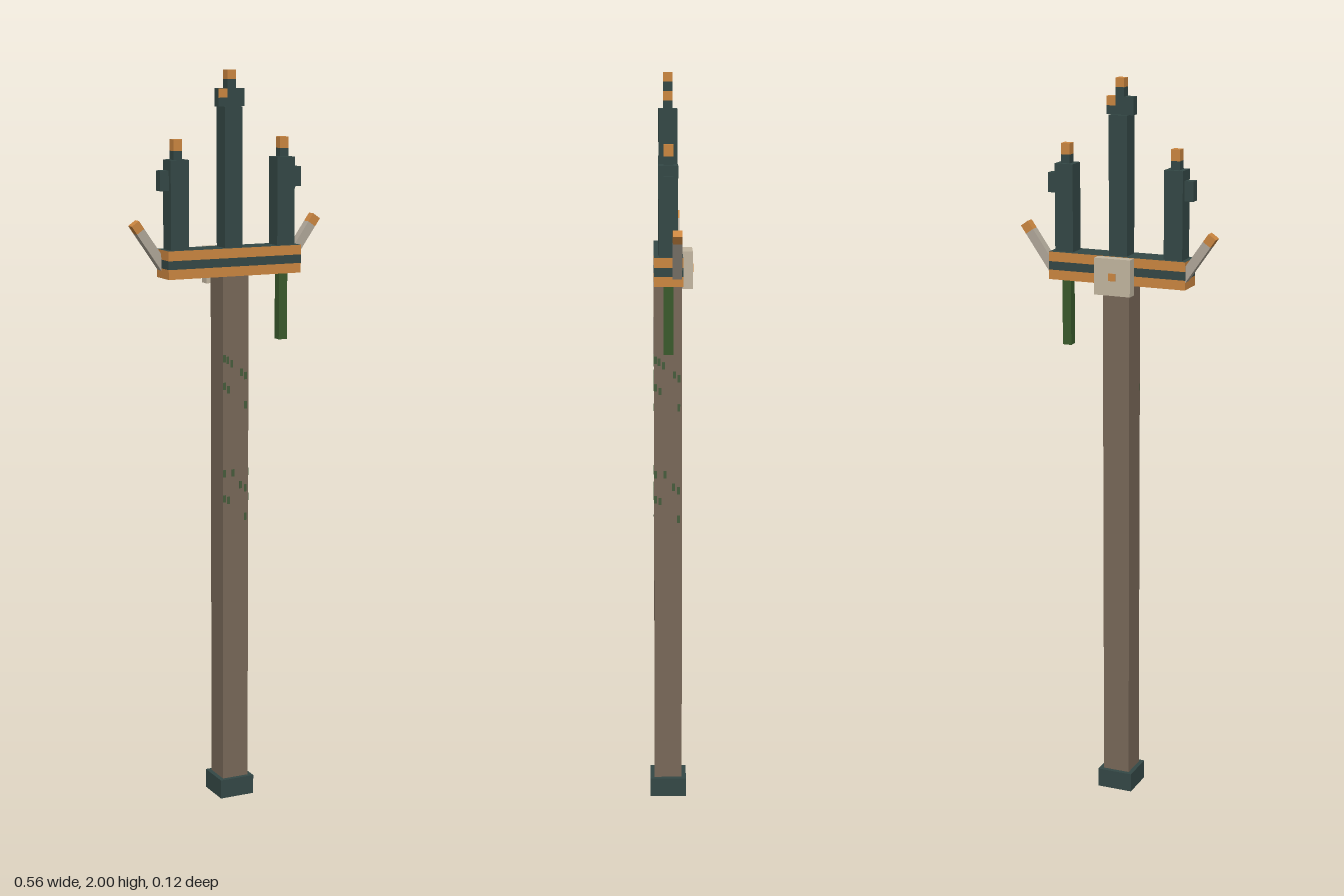
import * as THREE from 'three';

const mat = (name, color) => {
  const m = new THREE.MeshStandardMaterial({ color });
  m.name = name;
  return m;
};

export function createModel() {
  const teal = mat('dark teal metal', 0x344846);
  const orange = mat('copper orange', 0xcb8640);
  const brown = mat('weathered wood', 0x786858);
  const tan = mat('pale plate', 0xc2b6a0);
  const grey = mat('pale barb', 0xb0a799);
  const green = mat('green strap', 0x3a5a2c);
  const moss = mat('moss', 0x465c3c);

  const Z = 0.006; // depth centre of the shaft and prongs
  const model = new THREE.Group();
  model.name = 'trident';

  // Box given by its limits on each axis; material may be a list in the order +x -x +y -y +z -z
  const box = (name, material, [x0, x1], [y0, y1], [z0, z1], parent = model) => {
    const mesh = new THREE.Mesh(new THREE.BoxGeometry(x1 - x0, y1 - y0, z1 - z0), material);
    mesh.position.set((x0 + x1) / 2, (y0 + y1) / 2, (z0 + z1) / 2);
    mesh.name = name;
    parent.add(mesh);
    return mesh;
  };
  const around = (c, half) => [c - half, c + half];
  const thin = around(Z, 0.0125);
  const thick = around(Z, 0.025);

  // Shaft and foot
  box('footCap', teal, around(0, 0.05), [0, 0.053], around(Z, 0.05));
  box('shaft', brown, around(0, 0.038), [0.053, 1.46], around(Z, 0.038));

  // Moss flecks on the front and left faces: offset across the face, height
  const flecks = [
    [-0.034, 1.24], [-0.024, 1.235], [-0.012, 1.225], [0.017, 1.2], [0.029, 1.19],
    [-0.034, 1.165], [-0.022, 1.155], [0.029, 1.11], [-0.034, 0.925], [-0.008, 0.925],
    [0.015, 0.89], [0.029, 0.88], [-0.034, 0.855], [-0.022, 0.85], [0.029, 0.8],
  ];
  for (const [u, y] of flecks) {
    box('mossFleckFront', moss, around(u, 0.004), around(y, 0.01), around(Z + 0.038, 0.001));
    box('mossFleckSide', moss, around(0.038, 0.001), around(y, 0.01), around(Z - u, 0.004));
  }

  // Crosshead: three layers, the outer two with copper sides
  const banded = [orange, orange, teal, teal, orange, orange];
  const cross = around(0, 0.195), crossZ = around(Z, 0.038);
  box('crossheadLower', banded, cross, [1.46, 1.486], crossZ);
  box('crossheadMiddle', teal, cross, [1.486, 1.509], crossZ);
  box('crossheadUpper', banded, cross, [1.509, 1.535], crossZ);

  // Back plate with stud
  box('backPlate', tan, around(0, 0.051), [1.435, 1.534], [-0.06, -0.032]);
  box('backStud', orange, around(0, 0.01), around(1.485, 0.01), [-0.063, -0.06]);

  // Centre prong with two shoulder nubs
  box('centreProng', teal, around(0, 0.026), [1.535, 1.905], thick);
  box('centreNeck', teal, around(0, 0.0125), [1.905, 1.976], thin);
  box('centreTip', orange, around(0, 0.0125), [1.976, 2], thin);
  box('leftNubBase', teal, [0.0125, 0.038], [1.905, 1.928], thin);
  box('leftNub', [orange, teal, orange, teal, teal, orange], [0.0125, 0.038], [1.928, 1.952], thin);
  box('rightNubBase', teal, [-0.038, -0.0125], [1.905, 1.928], thin);
  box('rightNub', [teal, teal, teal, teal, orange, teal], [-0.038, -0.0125], [1.928, 1.952], thin);

  for (const s of [-1, 1]) {
    const side = s > 0 ? 'left' : 'right';

    // Side prong, its tip and outer nub
    box(side + 'Prong', teal, around(s * 0.156, 0.026), [1.535, 1.77], thick);
    box(side + 'Neck', teal, around(s * 0.156, 0.0125), [1.77, 1.793], thin);
    box(side + 'Tip', orange, around(s * 0.156, 0.0125), [1.793, 1.823], thin);
    box(side + 'ProngNub', teal, around(s * 0.194, 0.013), [1.69, 1.743], thin);

    // Slanted barb built upright from its tip down, then tilted outward
    const barb = new THREE.Group();
    barb.name = side + 'Barb';
    box('barbArm', grey, around(0, 0.0125), [-0.15, -0.026], [-0.0125, 0.0125], barb);
    box('barbTip', orange, around(0, 0.0125), [-0.026, 0], [-0.0125, 0.0125], barb);
    barb.position.set(s * 0.268, 1.606, -0.0165);
    barb.rotation.z = -s * 0.61;
    model.add(barb);
  }

  // Hanging strap
  box('hangingStrap', green, around(0.155, 0.0125), [1.277, 1.46], thin);

  return model;
}
